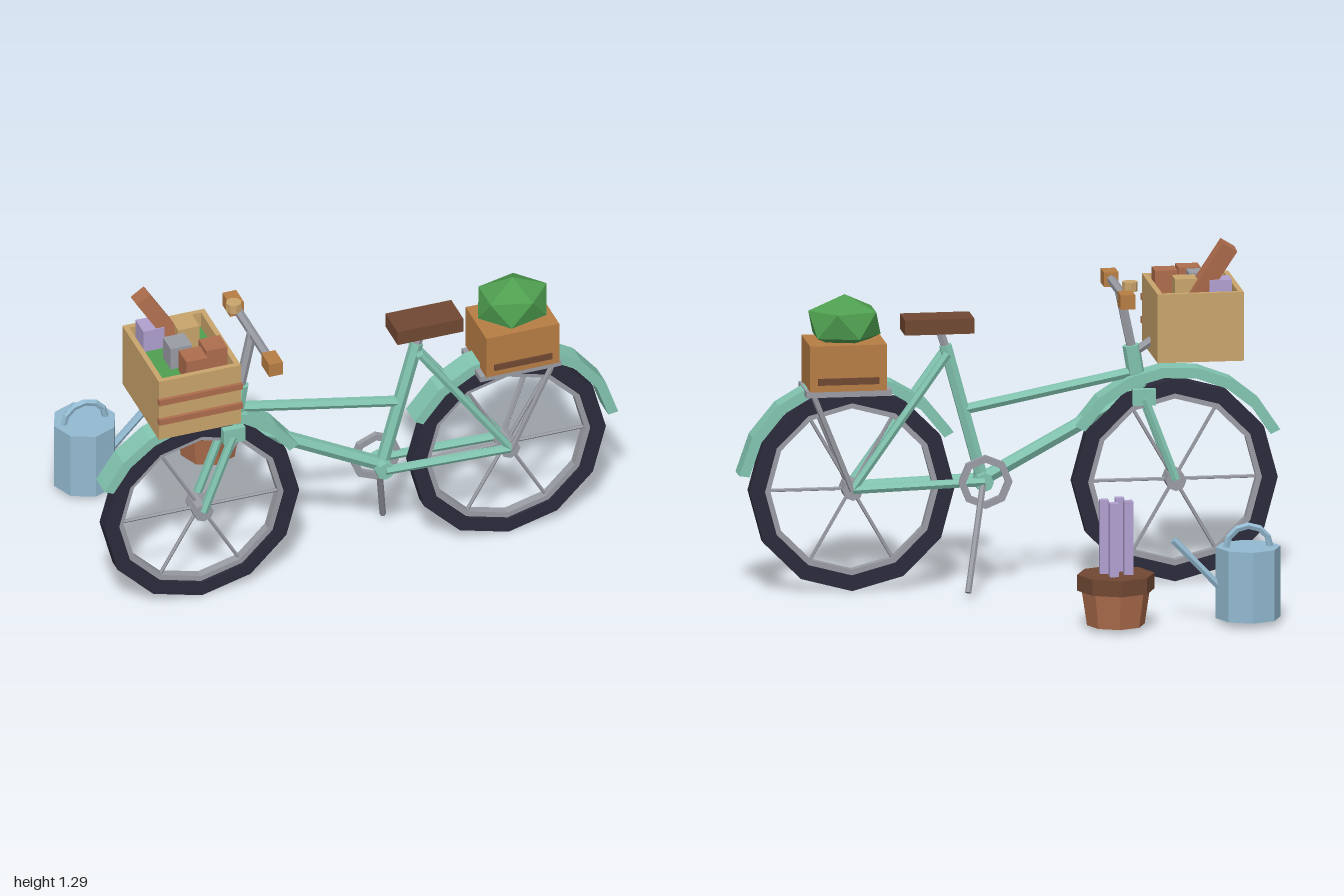
import * as THREE from 'three';

const mat = (name, color) => {
  const m = new THREE.MeshStandardMaterial({ color });
  m.name = name;
  return m;
};

export function createModel() {
  const teal = mat('teal paint', 0x83c6b2), rubber = mat('dark rubber', 0x2c2b3c);
  const steel = mat('grey steel', 0x9b9da5), wood = mat('pale wood', 0xcaa56c);
  const tanWood = mat('orange wood', 0xb87e45), clay = mat('clay brown', 0xae6d4d);
  const dark = mat('dark brown', 0x714833), green = mat('leaf green', 0x4f9f50);
  const blue = mat('pale blue', 0x93bad1), lilac = mat('lilac', 0xb0a0cf);

  const root = new THREE.Group();
  const bike = new THREE.Group();
  bike.name = 'bicycle';
  bike.position.z = 0.36; // the bike is built around its own middle plane
  root.add(bike);

  // Adds a mesh with faceted normals
  const add = (parent, name, geo, material, x = 0, y = 0, z = 0) => {
    const g = geo.index ? geo.toNonIndexed() : geo;
    g.computeVertexNormals();
    const m = new THREE.Mesh(g, material);
    m.name = name;
    m.position.set(x, y, z);
    parent.add(m);
    return m;
  };
  // Box given by its minimum and maximum corners
  const box = (parent, name, material, a, b) => add(parent, name,
    new THREE.BoxGeometry(b[0] - a[0], b[1] - a[1], b[2] - a[2]), material,
    (a[0] + b[0]) / 2, (a[1] + b[1]) / 2, (a[2] + b[2]) / 2);
  // Straight tube between two points
  const tube = (parent, name, material, a, b, r, sides = 6) => {
    const p = new THREE.Vector3(...a), q = new THREE.Vector3(...b);
    const mid = p.clone().add(q).multiplyScalar(0.5), d = q.sub(p);
    const m = add(parent, name, new THREE.CylinderGeometry(r, r, d.length(), sides), material, mid.x, mid.y, mid.z);
    m.quaternion.setFromUnitVectors(new THREE.Vector3(0, 1, 0), d.normalize());
    return m;
  };
  const arcPoints = (r, from, to, n) => Array.from({ length: n + 1 }, (_, i) => {
    const t = from + (to - from) * i / n;
    return new THREE.Vector2(r * Math.cos(t), r * Math.sin(t));
  });
  const slab = (shape, width) =>
    new THREE.ExtrudeGeometry(shape, { depth: width, bevelEnabled: false }).translate(0, 0, -width / 2);
  const ring = (outer, inner, width, n) => {
    const shape = new THREE.Shape(arcPoints(outer, 0, Math.PI * 2, n).slice(0, n));
    shape.holes.push(new THREE.Path(arcPoints(inner, 0, Math.PI * 2, n).slice(0, n)));
    return slab(shape, width);
  };
  const rad = THREE.MathUtils.degToRad;
  const arc = (outer, inner, width, from, to, n) => slab(new THREE.Shape([
    ...arcPoints(outer, rad(from), rad(to), n),
    ...arcPoints(inner, rad(from), rad(to), n).reverse()]), width);

  // Wheels with mudguards
  const wheels = [['front', -0.62, 30, 155], ['rear', 0.577, 9, 151]];
  for (const [label, x, from, to] of wheels) {
    const wheel = new THREE.Group();
    wheel.name = label + 'Wheel';
    wheel.position.set(x, 0.38, 0);
    bike.add(wheel);
    add(wheel, 'tyre', ring(0.38, 0.323, 0.055, 12), rubber);
    add(wheel, 'rim', ring(0.325, 0.302, 0.034, 12), steel);
    add(wheel, 'hub', new THREE.CylinderGeometry(0.038, 0.038, 0.1, 8).rotateX(Math.PI / 2), steel);
    for (let i = 0; i < 6; i++) {
      const t = i * Math.PI / 3;
      tube(wheel, 'spoke', steel, [0, 0, 0], [0.315 * Math.cos(t), 0.315 * Math.sin(t), 0], 0.007, 5);
    }
    add(wheel, 'mudguard', arc(0.427, 0.388, 0.09, from, to, 7), teal);
  }

  // Frame
  tube(bike, 'headTube', teal, [-0.49, 0.7, 0], [-0.46, 0.885, 0], 0.032, 8);
  tube(bike, 'topTube', teal, [-0.47, 0.785, 0], [0.155, 0.663, 0], 0.02);
  tube(bike, 'downTube', teal, [-0.48, 0.71, 0], [0.09, 0.4, 0], 0.027);
  tube(bike, 'seatTube', teal, [0.09, 0.395, 0], [0.228, 0.905, 0], 0.025);
  tube(bike, 'bottomBracket', teal, [0.09, 0.395, -0.05], [0.09, 0.395, 0.05], 0.035, 8);
  box(bike, 'forkCrown', teal, [-0.545, 0.667, -0.055], [-0.46, 0.727, 0.055]);
  for (const s of [-1, 1]) {
    tube(bike, 'forkLeg', teal, [-0.505, 0.69, s * 0.045], [-0.62, 0.385, s * 0.045], 0.017);
    tube(bike, 'chainStay', teal, [0.09, 0.398, s * 0.045], [0.577, 0.383, s * 0.045], 0.017);
    tube(bike, 'seatStay', teal, [0.225, 0.88, s * 0.04], [0.577, 0.385, s * 0.045], 0.016);
    tube(bike, 'rackStrut', steel, [0.73, 0.75, s * 0.085], [0.58, 0.38, s * 0.05], 0.011);
  }

  // Saddle, drive and stand
  tube(bike, 'seatPost', steel, [0.222, 0.88, 0], [0.255, 0.98, 0], 0.017);
  box(bike, 'saddle', dark, [0.13, 0.958, -0.065], [0.387, 1.015, 0.065]);
  add(bike, 'chainring', ring(0.1, 0.073, 0.02, 8), steel, 0.088, 0.4, -0.056);
  tube(bike, 'kickstand', steel, [0.095, 0.39, -0.045], [0.175, 0.02, -0.215], 0.012);

  // Handlebar
  tube(bike, 'stem', steel, [-0.465, 0.86, 0], [-0.415, 1.1, 0], 0.019);
  tube(bike, 'handlebar', steel, [-0.412, 1.096, -0.24], [-0.412, 1.096, 0.24], 0.017);
  for (const s of [-1, 1])
    add(bike, 'grip', new THREE.BoxGeometry(0.054, 0.054, 0.083), tanWood, -0.412, 1.096, s * 0.208);
  add(bike, 'bell', new THREE.CylinderGeometry(0.029, 0.029, 0.035, 8), wood, -0.435, 1.134, -0.14);

  // Rear rack with box and plant
  box(bike, 'rack', steel, [0.44, 0.742, -0.1], [0.757, 0.765, 0.1]);
  box(bike, 'rearBox', tanWood, [0.46, 0.765, -0.11], [0.745, 0.937, 0.11]);
  for (const s of [-1, 1])
    add(bike, 'boxSlot', new THREE.BoxGeometry(0.226, 0.025, 0.008), dark, 0.603, 0.803, s * 0.112);
  add(bike, 'shrub', new THREE.IcosahedronGeometry(1, 0).rotateZ(-0.553).scale(0.15, 0.105, 0.124),
    green, 0.602, 1.002, 0);

  // Front crate: floor, walls, bands
  const crate = new THREE.Group();
  crate.name = 'frontCrate';
  bike.add(crate);
  tube(crate, 'crateBracket', steel, [-0.56, 0.915, 0], [-0.46, 0.85, 0], 0.017);
  box(crate, 'crateFloor', wood, [-0.85, 0.853, -0.193], [-0.53, 0.875, 0.197]);
  for (const x of [-0.85, -0.55]) box(crate, 'crateEnd', wood, [x, 0.853, -0.193], [x + 0.02, 1.11, 0.197]);
  for (const z of [-0.193, 0.177]) box(crate, 'crateSide', wood, [-0.83, 0.853, z], [-0.55, 1.11, z + 0.02]);
  for (const y of [0.936, 1.022]) box(crate, 'crateBand', clay, [-0.853, y - 0.012, 0.187], [-0.527, y + 0.012, 0.21]);
  box(crate, 'greens', green, [-0.822, 0.875, -0.155], [-0.558, 1.06, 0.155]);

  // Goods in the crate: material, x and z of the centre
  for (const [m, x, z] of [[lilac, -0.77, -0.115], [steel, -0.715, 0.025], [clay, -0.69, 0.125],
    [clay, -0.597, 0.083], [wood, -0.647, -0.08]])
    add(crate, 'parcel', new THREE.BoxGeometry(0.083, 0.1, 0.083), m, x, 1.1, z);
  const loaf = add(crate, 'leaningLoaf', new THREE.BoxGeometry(0.062, 0.26, 0.07), clay, -0.735, 1.165, -0.115);
  loaf.rotation.set(-0.1, 0, 0.56);

  // Watering can
  const can = new THREE.Group();
  can.name = 'wateringCan';
  can.position.set(-0.775, 0, -0.44);
  root.add(can);
  add(can, 'canBody', new THREE.CylinderGeometry(0.12, 0.12, 0.265, 8), blue, 0, 0.1525, 0);
  add(can, 'canHandle', new THREE.TorusGeometry(0.082, 0.013, 5, 6, Math.PI), blue, 0, 0.28, 0);
  tube(can, 'canSpout', blue, [0.07, 0.1, 0], [0.277, 0.318, 0], 0.015);

  // Flower pot with four stems
  const pot = new THREE.Group();
  pot.name = 'flowerPot';
  pot.position.set(-0.28, 0, -0.472);
  root.add(pot);
  add(pot, 'potBody', new THREE.CylinderGeometry(0.128, 0.107, 0.14, 8), clay, 0, 0.085, 0);
  add(pot, 'potRim', new THREE.CylinderGeometry(0.143, 0.143, 0.06, 8), dark, 0, 0.175, 0);
  for (const [x, z] of [[0.015, -0.05], [-0.043, -0.018], [0.042, 0.015], [-0.02, 0.046]])
    add(pot, 'lilacStem', new THREE.BoxGeometry(0.033, 0.3, 0.033), lilac, x, 0.33, z);

  return root;
}
